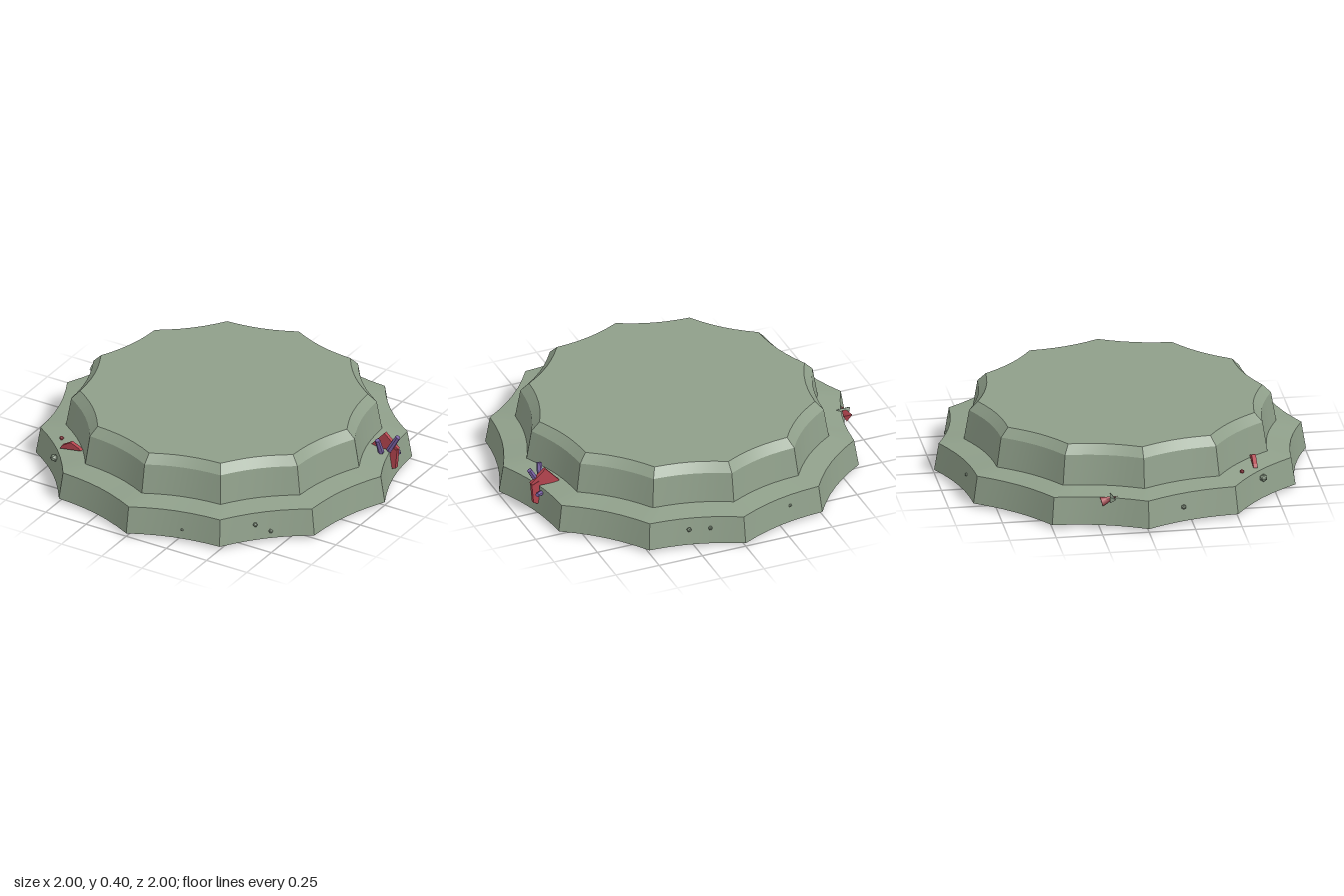
import * as THREE from 'three';
import { toCreasedNormals } from 'three/addons/utils/BufferGeometryUtils.js';

const material = (name, color) => {
  const m = new THREE.MeshStandardMaterial({ color });
  m.name = name;
  return m;
};

// Scalloped ring: twelve pointed corners joined by shallow concave arcs
const CORNERS = 12, STEPS = 6, SAG = 0.03;
function ringPoint(radius, y, i) {
  const side = Math.floor(i / STEPS), t = (i % STEPS) / STEPS;
  const a = (side * Math.PI * 2) / CORNERS, b = a + (Math.PI * 2) / CORNERS;
  const x = Math.sin(a) * (1 - t) + Math.sin(b) * t;
  const z = Math.cos(a) * (1 - t) + Math.cos(b) * t;
  const r = radius * (1 - (SAG * 4 * t * (1 - t)) / Math.hypot(x, z));
  return [x * r, y, z * r];
}

// Skin a list of [radius, y] rings, from the underside up to the top
function scallopedSolid(profile) {
  const pos = [], n = CORNERS * STEPS;
  for (let k = 0; k < profile.length - 1; k++) {
    const [r0, y0] = profile[k], [r1, y1] = profile[k + 1];
    for (let i = 0; i < n; i++) {
      const a = ringPoint(r0, y0, i), b = ringPoint(r0, y0, i + 1);
      const c = ringPoint(r1, y1, i + 1), d = ringPoint(r1, y1, i);
      if (r0 > 0) pos.push(...a, ...b, ...c);
      if (r1 > 0) pos.push(...a, ...c, ...d);
    }
  }
  const g = new THREE.BufferGeometry();
  g.setAttribute('position', new THREE.Float32BufferAttribute(pos, 3));
  return toCreasedNormals(g, 0.4);
}

// Thin upright plate cut from an outline in x and y, centred on depth z
function plate(outline, z, depth) {
  const shape = new THREE.Shape(outline.map(([x, y]) => new THREE.Vector2(x, y)));
  const g = new THREE.ExtrudeGeometry(shape, { depth, bevelEnabled: false });
  return g.translate(0, 0, z - depth / 2);
}

// Small six-sided crystal running from one point to another
function crystal(from, to, radius) {
  const a = new THREE.Vector3(...from), b = new THREE.Vector3(...to);
  const dir = b.clone().sub(a);
  const g = new THREE.CylinderGeometry(radius * 0.85, radius, dir.length(), 6).toNonIndexed();
  g.computeVertexNormals();
  const q = new THREE.Quaternion().setFromUnitVectors(new THREE.Vector3(0, 1, 0), dir.normalize());
  return g.applyQuaternion(q).translate(...a.add(b).multiplyScalar(0.5).toArray());
}

const pebble = ([x, y, z], r) => new THREE.IcosahedronGeometry(r, 0).translate(x, y, z);

export function createModel() {
  const model = new THREE.Group();
  model.name = 'plinth';
  const stone = material('grey green stone', 0x8f9f8a);
  const red = material('red shard', 0xb5454f);
  const purple = material('purple crystal', 0x7a62a4);
  const add = (name, geometry, mat) => {
    const mesh = new THREE.Mesh(geometry, mat);
    mesh.name = name;
    model.add(mesh);
  };

  // Two-tier body with sloping ledge and bevelled top
  add('steppedBase', scallopedSolid([
    [0, 0.02], [1, 0.02], [0.975, 0.17], [0.84, 0.188],
    [0.812, 0.35], [0.765, 0.397], [0, 0.397],
  ]), stone);

  // Pebbles set in the lower wall
  [
    [-0.65, 0.13, 0.67, 0.022], [0.62, 0.11, 0.7, 0.013], [0.68, 0.06, 0.64, 0.012],
    [0.28, 0.07, 0.89, 0.008], [-0.915, 0.1, 0.2, 0.014], [-0.915, 0.07, -0.14, 0.012],
    [0.28, 0.11, -0.89, 0.014], [0.17, 0.11, -0.92, 0.012], [-0.31, 0.11, -0.875, 0.01],
  ].forEach(([x, y, z, r]) => add('pebble', pebble([x, y, z], r), stone));

  // Red shards on the left side of the crystal cluster
  add('largeShard', plate([[0.76, 0.18], [0.9, 0.18], [0.93, 0.2], [0.89, 0.235], [0.845, 0.275]], -0.26, 0.02), red);
  add('hangingShard', plate([[0.885, 0.07], [0.915, 0.08], [0.925, 0.19], [0.88, 0.21]], -0.26, 0.025), red);

  // Purple crystals
  [
    [[0.875, 0.18, -0.25], [0.93, 0.275, -0.25], 0.017],
    [[0.85, 0.18, -0.21], [0.845, 0.265, -0.18], 0.017],
    [[0.88, 0.145, -0.29], [0.91, 0.15, -0.31], 0.014],
    [[0.8, 0.002, -0.28], [0.8, 0.03, -0.28], 0.025],
  ].forEach(([from, to, r]) => add('crystal', crystal(from, to, r), purple));

  // Red shards near the front corner and beneath it
  add('frontShard', plate([[-0.63, 0.18], [-0.5, 0.2], [-0.515, 0.213], [-0.565, 0.233], [-0.62, 0.2]], 0.63, 0.022), red);
  add('redChip', pebble([-0.675, 0.185, 0.55], 0.012), red);
  add('redStud', pebble([-0.615, 0.02, 0.61], 0.02), red);

  // Splinters on the right ledge
  add('redSplinter', new THREE.ConeGeometry(0.03, 0.09, 3).rotateX(1.3).translate(-0.91, 0.17, -0.2), red);
  add('stoneSplinter', new THREE.ConeGeometry(0.022, 0.08, 3).rotateZ(-1.4).translate(-0.9, 0.18, -0.19), stone);
  return model;
}
